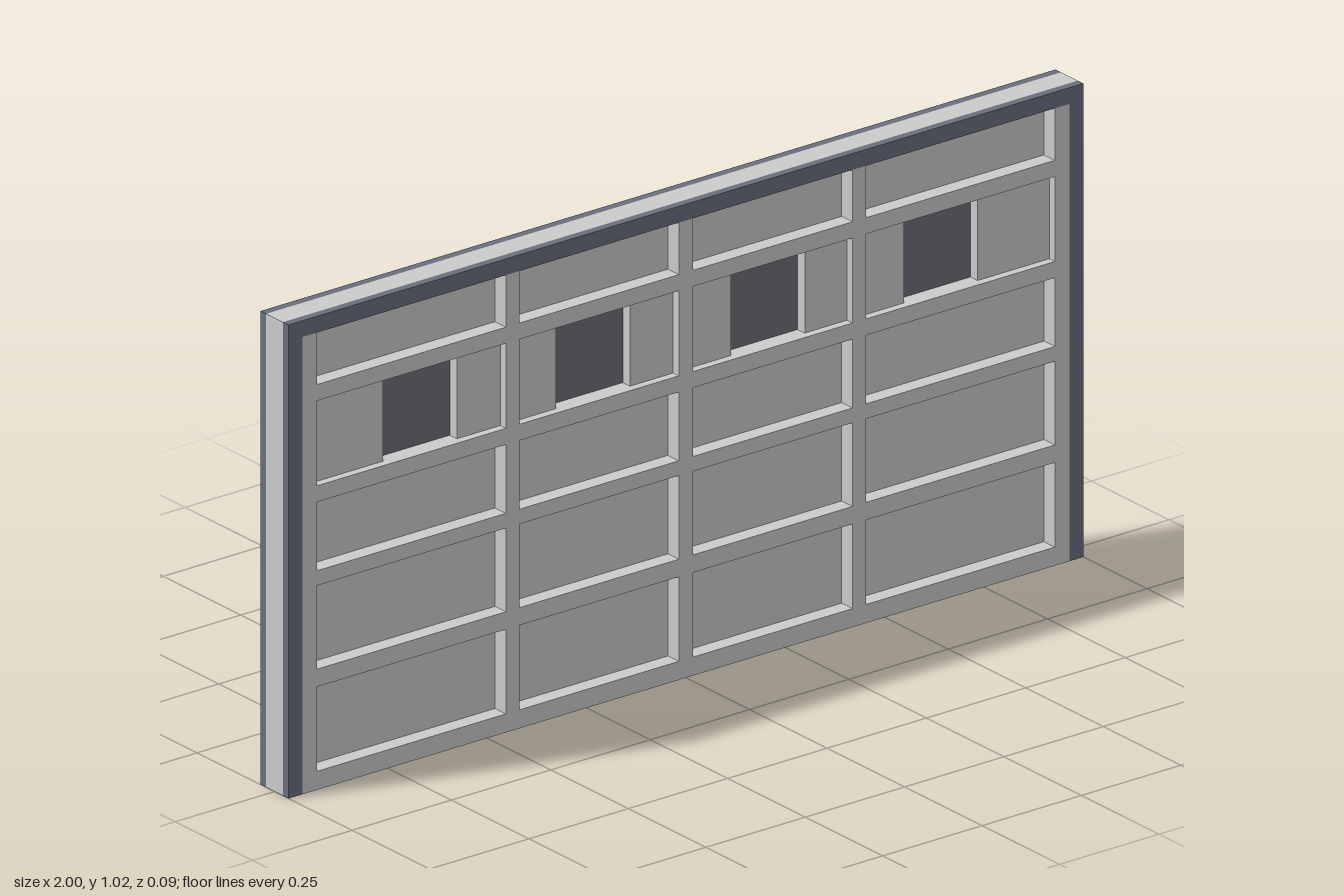
import * as THREE from 'three';

const H = 1.02, SLAB = 0.027, FACE = 0.045; // height, half depths of core and of trim
const cols = [[-0.928, -0.453], [-0.419, -0.018], [0.018, 0.419], [0.453, 0.928]];
const rows = [[0.04, 0.222], [0.26, 0.44], [0.472, 0.62], [0.655, 0.838], [0.873, 0.985]];
const WINDOW_ROW = 3;
const windowX = [-0.655, -0.22, 0.22, 0.655];
const WINDOW_HALF = 0.093;

export function createModel() {
  const model = new THREE.Group();
  const grey = new THREE.MeshStandardMaterial({ color: 0xcccccc });
  const frameMat = new THREE.MeshStandardMaterial({ color: 0x6b6f7d });
  const glassMat = new THREE.MeshStandardMaterial({ color: 0x6b6e79 });

  // box given by its limits on each axis
  const box = (name, [x0, x1], [y0, y1], [z0, z1], material) => {
    const mesh = new THREE.Mesh(new THREE.BoxGeometry(x1 - x0, y1 - y0, z1 - z0), material);
    mesh.position.set((x0 + x1) / 2, (y0 + y1) / 2, (z0 + z1) / 2);
    mesh.name = name;
    model.add(mesh);
  };
  const rect = (path, [x0, x1], [y0, y1]) => {
    path.moveTo(x0, y0).lineTo(x1, y0).lineTo(x1, y1).lineTo(x0, y1).closePath();
    return path;
  };

  // core slab, cut through for the panels and windows
  const outline = rect(new THREE.Shape(), [-1, 1], [0, H]);
  rows.forEach((row, r) => cols.forEach((col, c) => {
    const span = r === WINDOW_ROW ? [windowX[c] - WINDOW_HALF, windowX[c] + WINDOW_HALF] : col;
    outline.holes.push(rect(new THREE.Path(), span, row));

    if (r !== WINDOW_ROW) {
      box('panel', span, row, [-0.01, 0.01], grey);
      return;
    }
    // window pane with crossed bars on the back
    const midY = (row[0] + row[1]) / 2, bar = 0.008;
    box('windowPane', span, row, [0, 0.004], glassMat);
    box('windowBarVertical', [windowX[c] - bar, windowX[c] + bar], row, [-0.01, 0], grey);
    box('windowBarLeft', [windowX[c] + bar, span[1]], [midY - bar, midY + bar], [-0.01, 0], grey);
    box('windowBarRight', [span[0], windowX[c] - bar], [midY - bar, midY + bar], [-0.01, 0], grey);
  }));
  const slabGeometry = new THREE.ExtrudeGeometry(outline, { depth: 2 * SLAB, bevelEnabled: false });
  slabGeometry.translate(0, 0, -SLAB);
  const slab = new THREE.Mesh(slabGeometry, grey);
  slab.name = 'doorCore';
  model.add(slab);

  // trim on both faces
  for (const z of [[SLAB, FACE], [-FACE, -SLAB]]) {
    // dark surround
    box('frameTop', [-1, 1], [0.985, H], z, frameMat);
    box('frameLeft', [0.965, 1], [0, 0.985], z, frameMat);
    box('frameRight', [-1, -0.965], [0, 0.985], z, frameMat);

    // upright stiles between the columns
    for (let i = 0; i <= cols.length; i++) {
      const x0 = i === 0 ? -0.965 : cols[i - 1][1];
      const x1 = i === cols.length ? 0.965 : cols[i][0];
      box('stile', [x0, x1], [0, 0.985], z, grey);
    }
    // level rails below each row
    rows.forEach((row, r) => {
      const y0 = r === 0 ? 0 : rows[r - 1][1];
      for (const col of cols) box('rail', col, [y0, row[0]], z, grey);
    });
  }
  return model;
}
